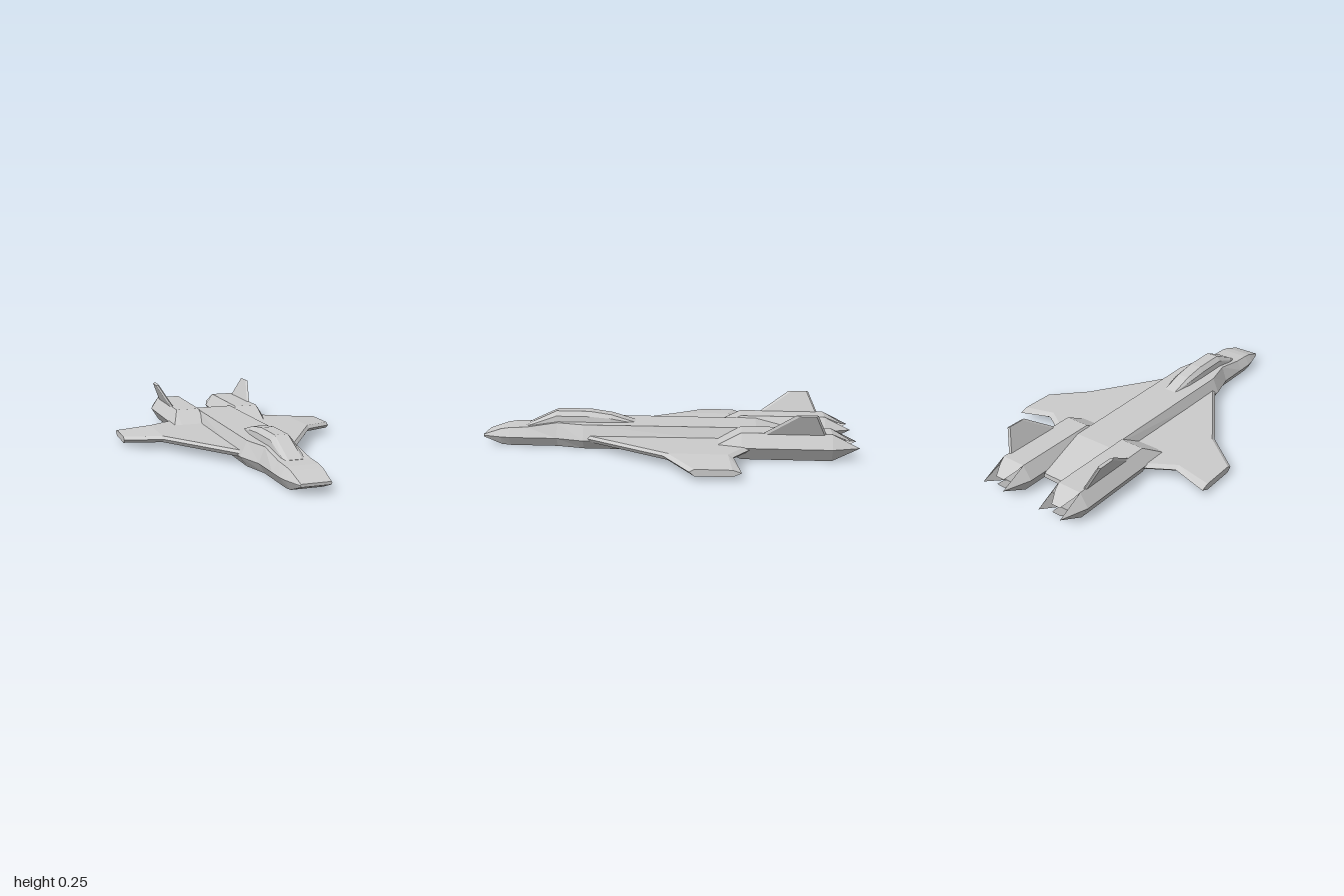
import * as THREE from 'three';

const solid = new THREE.MeshStandardMaterial({ color: 0xcccccc, flatShading: true });
const thin = new THREE.MeshStandardMaterial({ color: 0xcccccc, flatShading: true, side: THREE.DoubleSide });

// Unindexed mesh from a list of triangles, each made of three [x, y, z] corners
function meshFrom(name, tris, material) {
  const geometry = new THREE.BufferGeometry();
  geometry.setAttribute('position', new THREE.Float32BufferAttribute(tris.flat(2), 3));
  geometry.computeVertexNormals();
  const mesh = new THREE.Mesh(geometry, material);
  mesh.name = name;
  return mesh;
}

// Fan over a convex polygon
const fan = (p) => p.slice(2).map((c, i) => [p[0], p[i + 1], c]);

// Closed solid through matching rings of corners, turned so its faces point outward
function loft(name, rings) {
  let tris = [];
  const n = rings[0].length;
  for (let i = 0; i + 1 < rings.length; i++) {
    for (let j = 0; j < n; j++) {
      const k = (j + 1) % n;
      tris.push(...fan([rings[i][j], rings[i][k], rings[i + 1][k], rings[i + 1][j]]));
    }
  }
  tris.push(...fan([...rings[0]].reverse()), ...fan(rings[rings.length - 1]));
  const volume = tris.reduce((sum, t) => {
    const [a, b, c] = t.map((p) => new THREE.Vector3(...p));
    return sum + a.dot(b.cross(c));
  }, 0);
  if (volume < 0) tris = tris.map(([a, b, c]) => [a, c, b]);
  return meshFrom(name, tris, solid);
}

// Six-sided section across z, centred on cx
const hexRing = (cx, [z, topY, topW, midY, midW, botY, botW]) => [
  [cx - topW, topY, z], [cx + topW, topY, z], [cx + midW, midY, z],
  [cx + botW, botY, z], [cx - botW, botY, z], [cx - midW, midY, z],
];

function makeFuselage() {
  return loft('fuselage', [
    [1.0, 0.056, 0.072, 0.05, 0.075, 0.042, 0.072],
    [0.9, 0.09, 0.078, 0.05, 0.103, 0.004, 0.078],
    [0.85, 0.098, 0.08, 0.05, 0.11, 0, 0.08],
    [0.76, 0.102, 0.08, 0.05, 0.11, 0, 0.08],
    [0.59, 0.13, 0.08, 0.05, 0.11, 0, 0.08],
    [0.44, 0.13, 0.115, 0.05, 0.15, 0, 0.115],
    [-0.48, 0.13, 0.107, 0.05, 0.135, 0, 0.107],
    [-0.77, 0.065, 0.068, 0.05, 0.072, 0.04, 0.068],
  ].map((s) => hexRing(0, s)));
}

function makeCanopy() {
  // z, base y, base half width, shoulder y, shoulder half width, top y, top half width
  return loft('canopy', [
    [0.77, 0.095, 0.045, 0.1, 0.042, 0.103, 0.035],
    [0.73, 0.09, 0.06, 0.113, 0.055, 0.125, 0.035],
    [0.6, 0.09, 0.063, 0.16, 0.055, 0.185, 0.033],
    [0.42, 0.09, 0.063, 0.16, 0.055, 0.185, 0.033],
    [0.3, 0.09, 0.06, 0.15, 0.052, 0.168, 0.033],
    [0.17, 0.09, 0.038, 0.123, 0.036, 0.129, 0.033],
  ].map(([z, by, bw, sy, sw, ty, tw]) => [
    [-bw, by, z], [-sw, sy, z], [-tw, ty, z], [tw, ty, z], [sw, sy, z], [bw, by, z],
  ]));
}

// Bevelled wing with a drooping outer panel
function makeWing(s) {
  return loft('wing', [
    // x, leading z, trailing z, top y, front bevel, back bevel
    [0.09, 0.5, -0.56, 0.075, 0.025, 0.028],
    [0.42, -0.01, -0.36, 0.075, 0.025, 0.028],
    [0.605, -0.15, -0.4, 0.055, 0.025, 0.045],
  ].map(([x, front, back, y, f, b]) => [
    [s * x, y - 0.014, front], [s * x, y, front - f], [s * x, y, back + b],
    [s * x, y - 0.014, back], [s * x, y - 0.034, back + b], [s * x, y - 0.034, front - f],
  ]));
}

function makeEngine(s) {
  const group = new THREE.Group();
  const cx = s * 0.18;
  group.name = 'engine';
  group.add(loft('engineBody', [
    [-0.28, 0.075, 0.068, 0.07, 0.11, 0.065, 0.068],
    [-0.4, 0.14, 0.066, 0.07, 0.11, 0, 0.066],
    [-0.86, 0.14, 0.066, 0.07, 0.11, 0, 0.066],
  ].map((r) => hexRing(cx, r))));

  // Nozzle: blunt petals above and below, pointed ones at the sides
  const petals = [];
  for (const v of [1, -1]) {
    const at = (x, z) => [cx + x, 0.07 + v * 0.07 * (1 + z) / 0.14, z];
    petals.push(...fan([at(-0.066, -0.86), at(-0.056, -0.895), at(-0.025, -0.955),
      at(0.025, -0.955), at(0.056, -0.895), at(0.066, -0.86)]));
    for (const h of [1, -1]) {
      petals.push([[cx + h * 0.066, 0.07 + v * 0.07, -0.86], [cx + h * 0.11, 0.07, -0.86], [cx + h * 0.066, 0.07, -1]]);
    }
  }
  group.add(meshFrom('nozzlePetals', petals, thin));
  return group;
}

// Outward-leaning fin on top of the engine
function makeTailFin(s) {
  return loft('tailFin', [
    // x, y, leading z, trailing z
    [0.236, 0.125, -0.49, -0.835],
    [0.289, 0.246, -0.67, -0.78],
  ].map(([x, y, front, back]) => [
    [s * x, y, front], [s * (x + 0.007), y - 0.003, front - 0.02], [s * (x + 0.007), y - 0.003, back + 0.01],
    [s * x, y, back], [s * (x - 0.007), y + 0.003, back + 0.01], [s * (x - 0.007), y + 0.003, front - 0.02],
  ]));
}

export function createModel() {
  const model = new THREE.Group();
  model.name = 'starfighter';
  model.add(makeFuselage(), makeCanopy());
  for (const [side, s] of [['left', 1], ['right', -1]]) {
    for (const part of [makeWing(s), makeEngine(s), makeTailFin(s)]) {
      part.name = side + part.name[0].toUpperCase() + part.name.slice(1);
      model.add(part);
    }
  }
  return model;
}
